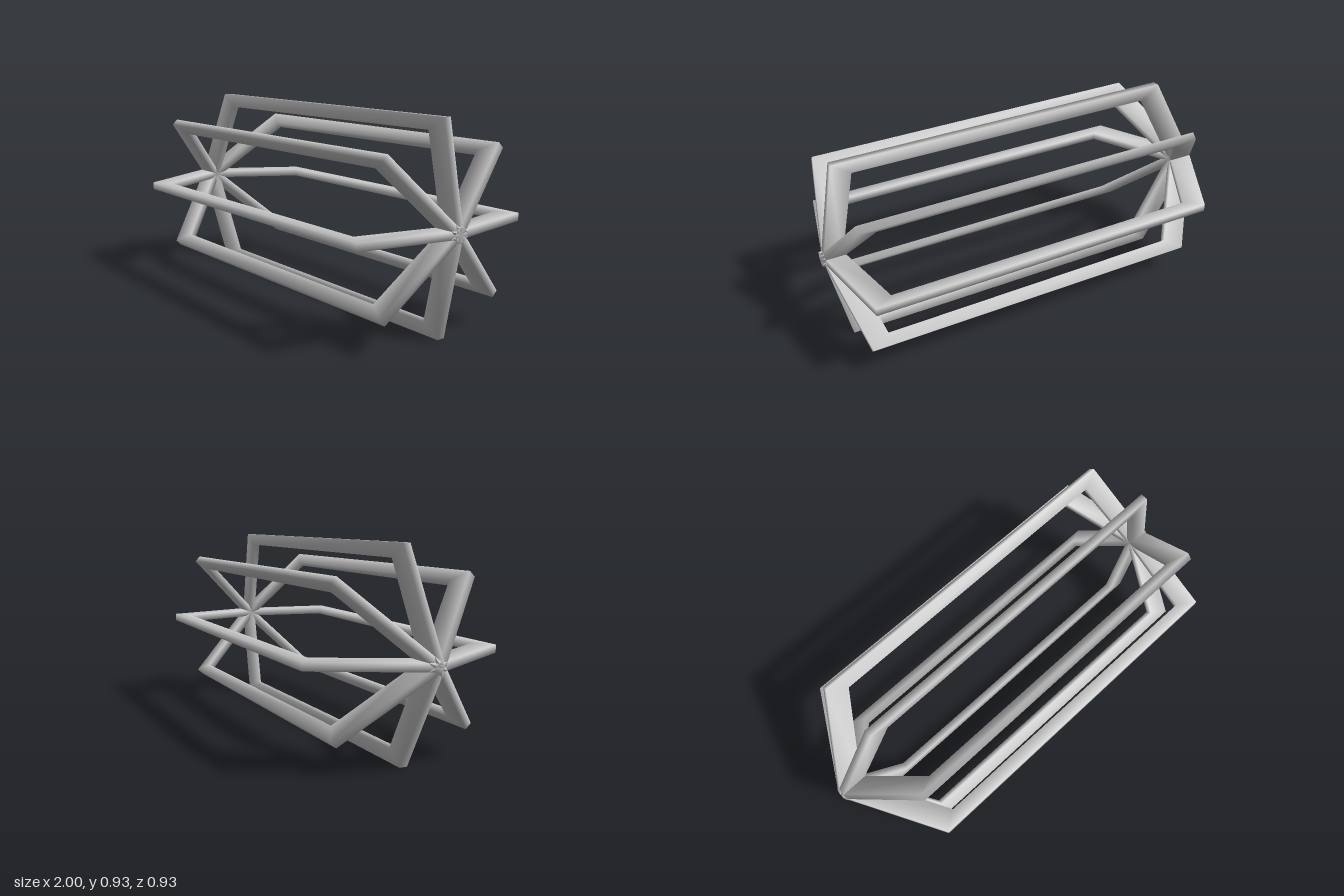
import * as THREE from 'three';

const HALF_WIDTH = 0.018;
const AXIS_HEIGHT = 0.464;

// Rib stations along the length: [outer x, outer radius, inner x, inner radius]
const STATIONS = [
  [-1.0, 0.015, -0.88, 0.015],
  [-0.75, 0.464, -0.667, 0.4],
  [0.905, 0.456, 0.82, 0.4],
  [1.0, -0.03, 0.912, -0.03],
];

// One bent bar of rectangular section, with shared corners for soft shading
function ribGeometry() {
  const positions = [];
  const index = [];
  const quad = (a, b, c, d) => index.push(a, b, c, a, c, d);

  for (const [ox, or, ix, ir] of STATIONS) {
    positions.push(ox, or, HALF_WIDTH, ox, or, -HALF_WIDTH);
    positions.push(ix, ir, -HALF_WIDTH, ix, ir, HALF_WIDTH);
  }
  for (let s = 0; s < STATIONS.length - 1; s++) {
    for (let k = 0; k < 4; k++) {
      const a = s * 4 + k;
      const b = s * 4 + (k + 1) % 4;
      quad(a, a + 4, b + 4, b);
    }
  }
  // End caps
  const e = (STATIONS.length - 1) * 4;
  quad(0, 1, 2, 3);
  quad(e + 3, e + 2, e + 1, e);

  const geometry = new THREE.BufferGeometry();
  geometry.setAttribute('position', new THREE.Float32BufferAttribute(positions, 3));
  geometry.setIndex(index);
  geometry.computeVertexNormals();
  return geometry;
}

export function createModel() {
  const model = new THREE.Group();
  model.name = 'ribCage';
  const material = new THREE.MeshStandardMaterial({ color: 0xcccccc, side: THREE.DoubleSide });
  const geometry = ribGeometry();

  // Eight ribs around the long axis
  for (let i = 0; i < 8; i++) {
    const rib = new THREE.Mesh(geometry, material);
    rib.name = `rib${i + 1}`;
    rib.rotation.x = (i * Math.PI) / 4;
    rib.position.y = AXIS_HEIGHT;
    model.add(rib);
  }
  return model;
}
